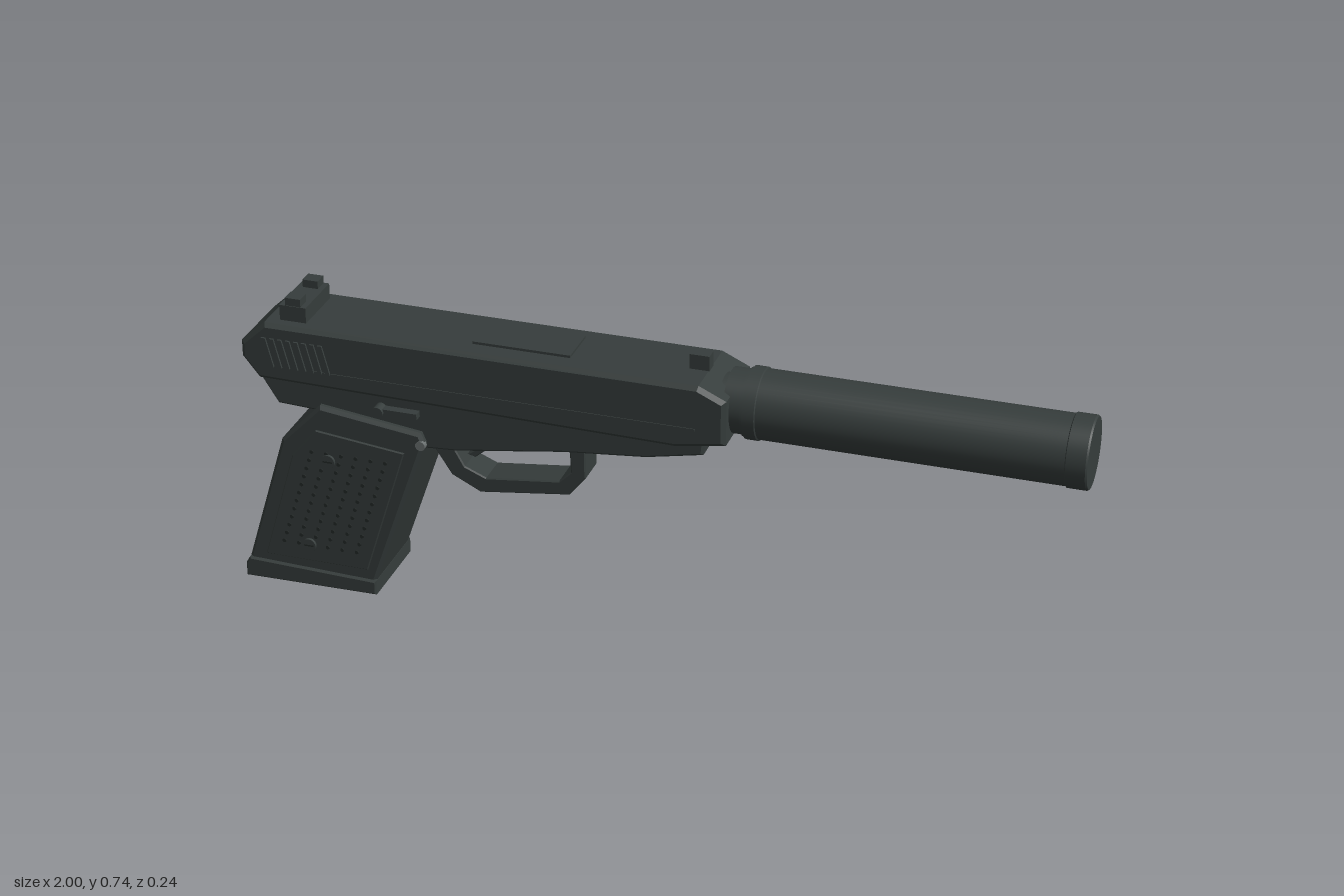
import * as THREE from 'three';

const mat = (name, color) => {
  const m = new THREE.MeshStandardMaterial({ color });
  m.name = name;
  return m;
};

export function createModel() {
  const body = mat('charcoal', 0x363d3c);
  const dark = mat('dark recess', 0x232827);
  const steel = mat('steel pin', 0x6a7070);
  const model = new THREE.Group();

  const add = (name, geometry, material, x = 0, y = 0, z = 0) => {
    const mesh = new THREE.Mesh(geometry, material);
    mesh.name = name;
    mesh.position.set(x, y, z);
    model.add(mesh);
    return mesh;
  };
  // Side profile extruded symmetrically about z = 0, with inset bevels
  const profile = (name, points, half, bevel = 0.006, material = body, z = 0) => {
    const shape = new THREE.Shape(points.map(p => new THREE.Vector2(...p)));
    const g = new THREE.ExtrudeGeometry(shape, {
      depth: 2 * (half - bevel), bevelEnabled: bevel > 0,
      bevelThickness: bevel, bevelSize: bevel, bevelOffset: -bevel, bevelSegments: 1,
    });
    g.translate(0, 0, bevel - half);
    return add(name, g, material, 0, 0, z);
  };
  const box = (name, x0, x1, y0, y1, z0, z1, material = body) =>
    add(name, new THREE.BoxGeometry(x1 - x0, y1 - y0, z1 - z0), material,
      (x0 + x1) / 2, (y0 + y1) / 2, (z0 + z1) / 2);
  const disc = (name, x, y, z, r, h, sides, material = body) => {
    const g = new THREE.CylinderGeometry(r, r, h, sides);
    g.rotateX(Math.PI / 2);
    return add(name, g, material, x, y, z);
  };

  // Slide and frame
  profile('slide', [[-0.92, 0.68], [-0.98, 0.625], [-0.98, 0.585], [-0.94, 0.535],
    [0.07, 0.52], [0.19, 0.54], [0.19, 0.65], [0.125, 0.68]], 0.101, 0.01);
  profile('frame', [[-0.95, 0.55], [-0.9, 0.47], [-0.7, 0.46], [-0.54, 0.41], [-0.46, 0.415],
    [-0.2, 0.455], [0, 0.475], [0.135, 0.503], [0.14, 0.55]], 0.088);
  box('topPlate', -0.425, -0.19, 0.675, 0.686, -0.055, 0.05);

  // Sights
  box('rearSightBase', -0.89, -0.825, 0.675, 0.718, -0.07, 0.07);
  for (const s of [-1, 1]) box('rearSightPost', -0.876, -0.838, 0.71, 0.737, s * 0.051 - 0.017, s * 0.051 + 0.017);
  box('frontSight', 0.08, 0.127, 0.675, 0.716, -0.016, 0.016);

  // Suppressor, turned around the bore axis
  const turned = [[0, 0.16], [0.06, 0.16], [0.06, 0.175], [0.075, 0.175], [0.075, 0.215],
    [0.079, 0.215], [0.079, 0.222], [0.084, 0.222], [0.084, 0.25], [0.081, 0.252],
    [0.081, 0.948], [0.084, 0.95], [0.084, 0.994], [0.081, 0.998], [0, 0.998]];
  for (let i = 0; i < turned.length - 1; i++) {
    const g = new THREE.LatheGeometry([turned[i], turned[i + 1]].map(p => new THREE.Vector2(...p)), 48);
    g.rotateZ(-Math.PI / 2);
    add('suppressor', g, body, 0, 0.61, 0);
  }
  const bore = new THREE.CircleGeometry(0.03, 32);
  bore.rotateY(Math.PI / 2);
  add('muzzle', bore, body, 1, 0.61, 0);

  // Trigger guard and trigger
  profile('triggerGuard', [[-0.55, 0.42], [-0.535, 0.395], [-0.49, 0.325], [-0.42, 0.29],
    [-0.2, 0.32], [-0.16, 0.37], [-0.16, 0.47], [-0.2, 0.47], [-0.196, 0.38], [-0.225, 0.352],
    [-0.405, 0.33], [-0.457, 0.352], [-0.495, 0.42]], 0.041, 0.003);
  profile('trigger', [[-0.45, 0.44], [-0.42, 0.40], [-0.457, 0.375], [-0.437, 0.37],
    [-0.402, 0.40], [-0.385, 0.45]], 0.022, 0.002);

  // Grip and floor plate
  profile('grip', [[-0.79, 0.487], [-0.89, 0.385], [-0.995, 0.04], [-0.67, 0.03],
    [-0.53, 0.43], [-0.54, 0.455]], 0.105, 0.008);
  profile('floorPlate', [[-1, 0], [-0.665, 0.005], [-0.665, 0.042], [-0.99, 0.052], [-1, 0.035]], 0.112, 0.004);

  for (const s of [-1, 1]) {
    // Grip panel with raised studs leaning with the grip
    profile('gripPanel', [[-0.8, 0.425], [-0.862, 0.35], [-0.945, 0.07], [-0.685, 0.07],
      [-0.58, 0.4]], 0.004, 0.002, body, s * 0.106);
    for (let row = 0; row < 12; row++) for (let col = 0; col < 6; col++) {
      const y = 0.115 + row * 0.023;
      disc('gripStud', -0.895 + col * 0.037 + (y - 0.115) * 0.33, y, s * 0.11, 0.005, 0.006, 6, dark);
    }
    for (const [x, y] of [[-0.77, 0.35], [-0.83, 0.115]]) {
      disc('gripScrew', x, y, s * 0.112, 0.017, 0.01, 16);
      box('screwSlot', x - 0.012, x + 0.012, y - 0.002, y + 0.002, s * 0.1172 - 0.0005, s * 0.1172 + 0.0005, dark);
    }
    // Slanted grasping ribs and side line
    for (let i = 0; i < 8; i++) {
      const x = -0.925 + i * 0.02;
      profile('slideRib', [[x + 0.018, 0.573], [x + 0.028, 0.573], [x + 0.01, 0.645], [x, 0.645]],
        0.004, 0, body, s * 0.102);
    }
    box('sideLine', -0.8, 0.12, 0.57, 0.576, s * 0.101 - 0.002, s * 0.101 + 0.002);
    // Safety lever and pivot pin
    box('safetyLever', -0.64, -0.545, 0.493, 0.508, s * 0.097 - 0.012, s * 0.097 + 0.012);
    disc('safetyHub', -0.64, 0.5, s * 0.1, 0.014, 0.032, 16);
    disc('pivotPin', -0.54, 0.425, s * 0.1, 0.012, 0.014, 16, steel);
  }
  return model;
}
